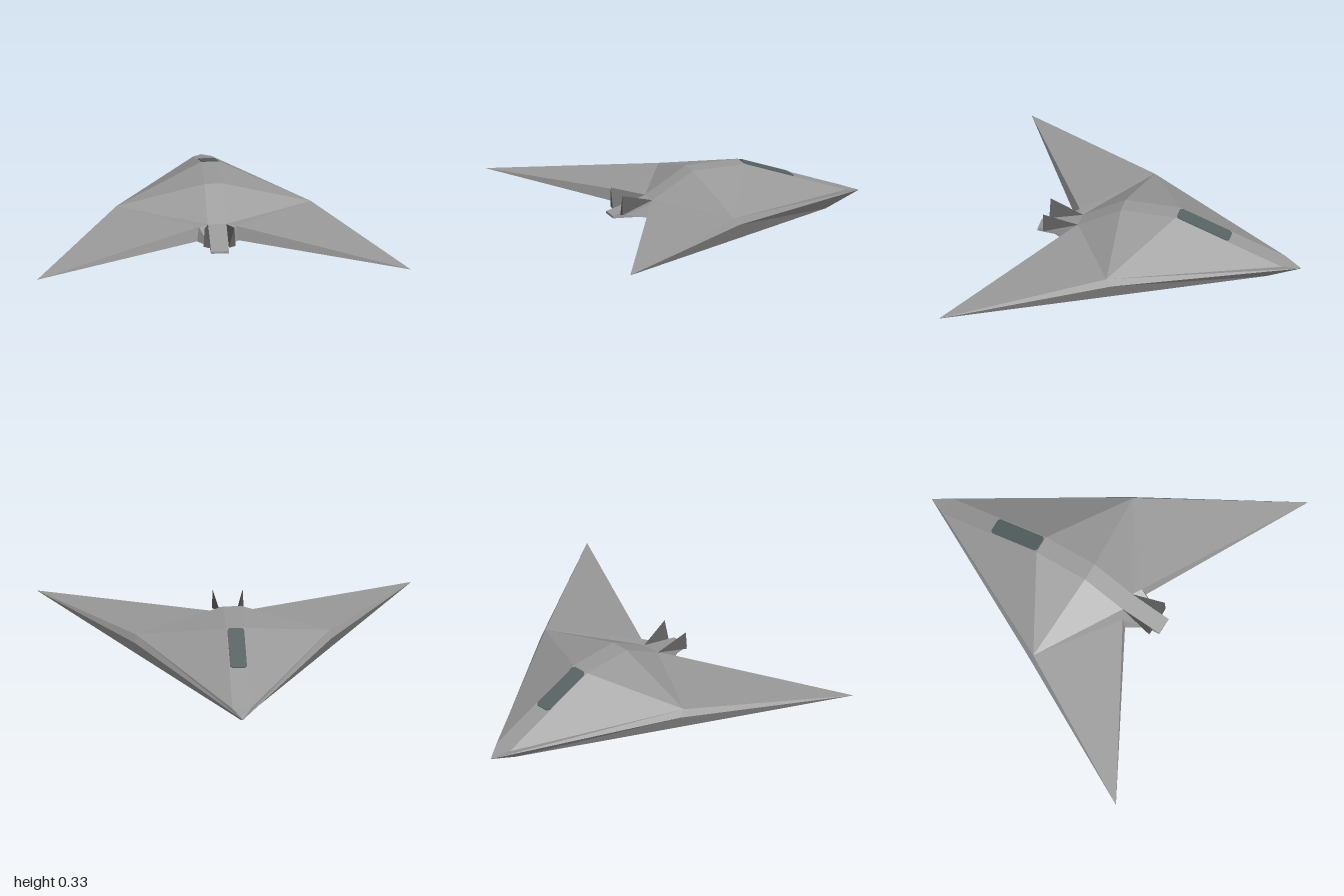
import * as THREE from 'three';

const V = (x, y, z) => new THREE.Vector3(x, y, z);

// Builds flat polygons (fans), wound so that they face away from an inner point.
function facets(polygons, inside) {
  const out = [];
  for (const poly of polygons) {
    for (let i = 1; i < poly.length - 1; i++) {
      let [a, b, c] = [poly[0], poly[i], poly[i + 1]];
      const n = b.clone().sub(a).cross(c.clone().sub(a));
      const mid = a.clone().add(b).add(c).divideScalar(3).sub(inside);
      if (n.dot(mid) < 0) [b, c] = [c, b];
      out.push(...a.toArray(), ...b.toArray(), ...c.toArray());
    }
  }
  const g = new THREE.BufferGeometry();
  g.setAttribute('position', new THREE.Float32BufferAttribute(out, 3));
  g.computeVertexNormals();
  return g;
}

export function createModel() {
  const model = new THREE.Group();
  model.name = 'arrowheadCraft';
  const hullGrey = new THREE.MeshStandardMaterial({ color: 0x999999 });
  hullGrey.name = 'hullGrey';
  const canopySlate = new THREE.MeshStandardMaterial({ color: 0x586262 });
  canopySlate.name = 'canopySlate';
  const finGrey = new THREE.MeshStandardMaterial({ color: 0x606060 });
  finGrey.name = 'finGrey';

  const add = (name, geometry, material) => {
    const mesh = new THREE.Mesh(geometry, material);
    mesh.name = name;
    model.add(mesh);
  };
  const mirror = (p) => V(-p.x, p.y, p.z);
  const addPair = (name, polygons, inside, material) => {
    add(name + 'Left', facets(polygons, inside), material);
    add(name + 'Right', facets(polygons.map((f) => f.map(mirror)), mirror(inside)), material);
  };

  // Key points of the left half
  const nose = V(0, 0.08, -0.87);
  const brow = V(0.05, 0.108, -0.775);
  const ridgeFront = V(0.05, 0.325, -0.19);
  const ridgeRear = V(0.05, 0.325, 0.11);
  const tailRoot = V(0.05, 0.19, 0.345);
  const shoulder = V(0.52, 0.193, 0.07);
  const chine = V(0.525, 0.155, 0.04);
  const tip = V(1, 0.12, 0.87);
  const keel = V(0, 0, -0.68);
  const notchTop = V(0.1, 0.19, 0.375);
  const notchLow = V(0.11, 0.115, 0.395);
  const notchMid = V(0, 0.105, 0.36);
  const belly = V(0, 0.065, 0.16);
  const core = V(0.3, 0.13, 0.15);

  // Upper hull, wing, chine and underside
  addPair('upperHull', [
    [nose, brow, shoulder],
    [brow, ridgeFront, shoulder],
    [ridgeFront, ridgeRear, shoulder],
    [ridgeRear, tailRoot, shoulder],
  ], core, hullGrey);
  addPair('wing', [
    [shoulder, tailRoot, notchTop, tip],
    [nose, shoulder, chine],
    [shoulder, tip, chine],
    [notchTop, tip, notchLow],
    [notchTop, notchLow, notchMid, tailRoot],
  ], core, hullGrey);
  addPair('underside', [
    [nose, chine, keel],
    [keel, chine, tip],
    [keel, tip, belly],
    [belly, tip, notchLow],
    [belly, notchLow, notchMid],
  ], core, hullGrey);

  // Level strip along the spine
  const spine = [brow, ridgeFront, ridgeRear, tailRoot];
  const strip = [[nose, brow, mirror(brow)]];
  for (let i = 0; i < 3; i++) {
    strip.push([spine[i], spine[i + 1], mirror(spine[i + 1]), mirror(spine[i])]);
  }
  add('spine', facets(strip, V(0, 0.1, 0)), hullGrey);

  // Tapering tail wedge
  const profile = [[0.345, 0.19], [0.57, 0.128], [0.57, 0.115], [0.345, 0.1]];
  const side = profile.map(([z, y]) => V(0.048, y, z));
  const wedge = [side, side.map(mirror)];
  side.forEach((p, i) => {
    const q = side[(i + 1) % side.length];
    wedge.push([p, q, mirror(q), mirror(p)]);
  });
  add('tailWedge', facets(wedge, V(0, 0.13, 0.42)), hullGrey);

  // Small fairings beside the tail
  const fairEnd = V(0.05, 0.125, 0.5);
  const fairLow = V(0.05, 0.105, 0.36);
  addPair('tailFairing', [
    [tailRoot, notchTop, fairEnd],
    [notchTop, notchLow, fairEnd],
    [notchLow, fairLow, fairEnd],
  ], V(0.07, 0.14, 0.39), hullGrey);

  // Thin splayed tail fins
  const finTop = V(0.08, 0.245, 0.53);
  const finFoot = V(0.05, 0.13, 0.53);
  const finOut = V(0.085, 0.14, 0.53);
  addPair('tailFin', [
    [tailRoot, finTop, finFoot],
    [tailRoot, finTop, finOut],
    [tailRoot, finFoot, finOut],
    [finTop, finFoot, finOut],
  ], V(0.066, 0.176, 0.484), finGrey);

  // Canopy plate with clipped corners, lying on the sloping spine
  const w = 0.045, c = 0.012;
  const rise = (ridgeFront.y - brow.y) / (ridgeFront.z - brow.z);
  const outline = [[w - c, -0.48], [w, -0.48 + c], [w, -0.195 - c], [w - c, -0.195],
    [c - w, -0.195], [-w, -0.195 - c], [-w, -0.48 + c], [c - w, -0.48]];
  const plate = (lift) => outline.map(([x, z]) =>
    V(x, ridgeFront.y + (z - ridgeFront.z) * rise + lift, z));
  const top = plate(0.005), base = plate(-0.002);
  const canopy = [top];
  top.forEach((p, i) => {
    const j = (i + 1) % top.length;
    canopy.push([p, top[j], base[j], base[i]]);
  });
  add('canopy', facets(canopy, V(0, ridgeFront.y - 0.147 * rise, -0.337)), canopySlate);

  return model;
}
